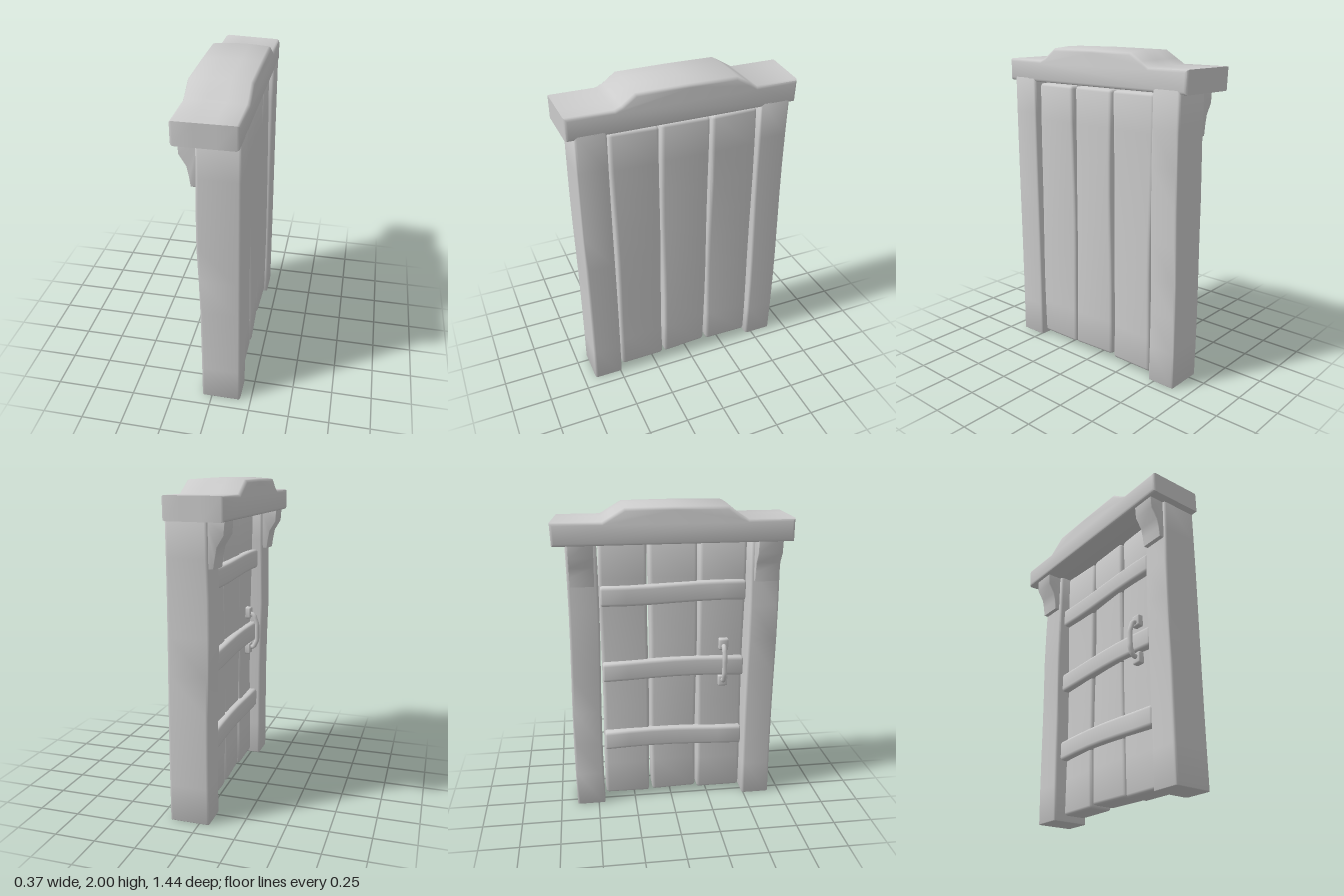
import * as THREE from 'three';
import { toCreasedNormals } from 'three/addons/utils/BufferGeometryUtils.js';

const material = new THREE.MeshStandardMaterial({ color: 0xcccccc });

function addMesh(parent, name, geometry, crease = 0.9) {
  const mesh = new THREE.Mesh(toCreasedNormals(geometry, crease), material);
  mesh.name = name;
  parent.add(mesh);
  return mesh;
}

// Moves every vertex of a geometry by a rule
function warp(geometry, rule) {
  const p = geometry.attributes.position;
  const v = new THREE.Vector3();
  for (let i = 0; i < p.count; i++) {
    v.fromBufferAttribute(p, i);
    rule(v);
    p.setXYZ(i, v.x, v.y, v.z);
  }
  return geometry;
}

// Bevelled outline extruded to a total depth, starting at 0
function bevelled(shape, depth, bevel, steps = 1) {
  return new THREE.ExtrudeGeometry(shape, {
    depth: depth - 2 * bevel, steps, curveSegments: 3,
    bevelThickness: bevel, bevelSize: bevel, bevelOffset: -bevel, bevelSegments: 2,
  }).translate(0, 0, bevel);
}

// Rectangle with softened corners, centred on the origin
function roundedRect(w, h, r) {
  const a = w / 2, b = h / 2;
  const s = new THREE.Shape();
  s.moveTo(-a + r, -b);
  s.lineTo(a - r, -b).quadraticCurveTo(a, -b, a, -b + r);
  s.lineTo(a, b - r).quadraticCurveTo(a, b, a - r, b);
  s.lineTo(-a + r, b).quadraticCurveTo(-a, b, -a, b - r);
  s.lineTo(-a, -b + r).quadraticCurveTo(-a, -b, -a + r, -b);
  return s;
}

// Upright timber between two corners
function timber([x0, x1], [y0, y1], [z0, z1], radius, bevel) {
  return bevelled(roundedRect(x1 - x0, z1 - z0, radius), y1 - y0, bevel, 8)
    .rotateX(-Math.PI / 2)
    .translate((x0 + x1) / 2, y0, (z0 + z1) / 2);
}

// Outline drawn in (z, y) and extruded along x; flip = outline in (x, y) along z
function outline(points) {
  return new THREE.Shape(points.map(([a, b]) => new THREE.Vector2(a, b)));
}

export function createModel() {
  const door = new THREE.Group();
  door.name = 'woodenDoor';

  // Side posts, slightly uneven
  const posts = [['leftPost', 0.49, 0.675, 0.002], ['rightPost', -0.642, -0.455, 0.006]];
  posts.forEach(([name, z0, z1, bow]) => {
    const g = timber([-0.062, 0.182], [0, 1.8], [z0, z1], 0.016, 0.003);
    addMesh(door, name, warp(g, (v) => {
      v.z -= bow * Math.sin(v.y * 3.4);
      if (v.x < 0) v.x -= 0.012 * Math.exp(-(((v.y - 1.2) / 0.3) ** 2));
    }));
  });

  // Vertical planks with worn edges
  const planks = [[0.18, 0.475, 0.032], [-0.132, 0.168, 0.042], [-0.443, -0.147, 0.034]];
  planks.forEach(([z0, z1, y0], i) => {
    const mid = (z0 + z1) / 2;
    const g = timber([0.0, 0.16], [y0, 1.765], [z0, z1], 0.022, 0.018);
    addMesh(door, `plank${i + 1}`, warp(g, (v) => {
      const side = (v.z - mid) / 0.15;
      v.z += 0.003 * Math.sin(v.y * 5 + i * 2);
      v.x += 0.008 * side * Math.sin(v.y * 2.3 + i * 1.7);
    }));
  });

  // Cross battens on the inner side
  [1.44, 0.94, 0.45].forEach((y, i) => {
    const g = bevelled(roundedRect(0.07, 0.125, 0.02), 0.91, 0.012, 6)
      .translate(-0.008, y, -0.44);
    addMesh(door, `batten${i + 1}`, warp(g, (v) => {
      v.y += 0.01 * Math.sin(v.z * 5 + i);
    }));
  });

  // Lintel with its raised middle, one end cut at a slant
  const profile = outline([
    [-0.715, 1.775], [0.72, 1.775], [0.72, 1.912], [0.44, 1.912],
    [0.40, 1.93], [0.32, 1.997], [0, 2.0], [-0.29, 1.997],
    [-0.37, 1.942], [-0.42, 1.912], [-0.72, 1.912],
  ]);
  const lintel = bevelled(profile, 0.366, 0.018, 3)
    .rotateY(-Math.PI / 2)
    .translate(0.182, 0, 0);
  warp(lintel, (v) => {
    // bevelling shrinks the outline's ends evenly, so only the slant is added
    if (v.z < -0.6) v.z += (v.x + 0.184) * 0.1;
    // round the long lower and upper edges a little
    if (v.y > 1.95 && Math.abs(v.x) > 0.16) v.y -= 0.008;
  });
  addMesh(door, 'lintel', lintel, 1.0);

  // Brackets under the lintel
  const bracketShape = outline([
    [-0.04, 1.515], [-0.095, 1.515], [-0.103, 1.575], [-0.115, 1.635],
    [-0.155, 1.70], [-0.162, 1.80], [-0.04, 1.80],
  ].reverse());
  [['leftBracket', 0.51], ['rightBracket', -0.625]].forEach(([name, z]) => {
    addMesh(door, name, bevelled(bracketShape, 0.15, 0.004).translate(0, 0, z));
  });

  // Pull handle: two plates and a bent grip
  const handle = new THREE.Group();
  handle.name = 'handle';
  handle.position.z = 0.34;
  door.add(handle);
  [1.09, 0.84].forEach((y, i) => {
    const plate = bevelled(roundedRect(0.05, 0.075, 0.012), 0.06, 0.006)
      .translate(-0.01, y, -0.03);
    addMesh(handle, i ? 'lowerPlate' : 'upperPlate', plate);
  });
  const path = new THREE.CurvePath();
  const bends = [[-0.01, 1.085], [-0.055, 1.075], [-0.077, 1.01], [-0.077, 0.90], [-0.055, 0.85], [-0.01, 0.845]]
    .map(([x, y]) => new THREE.Vector3(x, y, 0));
  for (let i = 1; i < bends.length; i++) path.add(new THREE.LineCurve3(bends[i - 1], bends[i]));
  addMesh(handle, 'grip', new THREE.TubeGeometry(path, 24, 0.016, 8), 1.2);

  return door;
}
